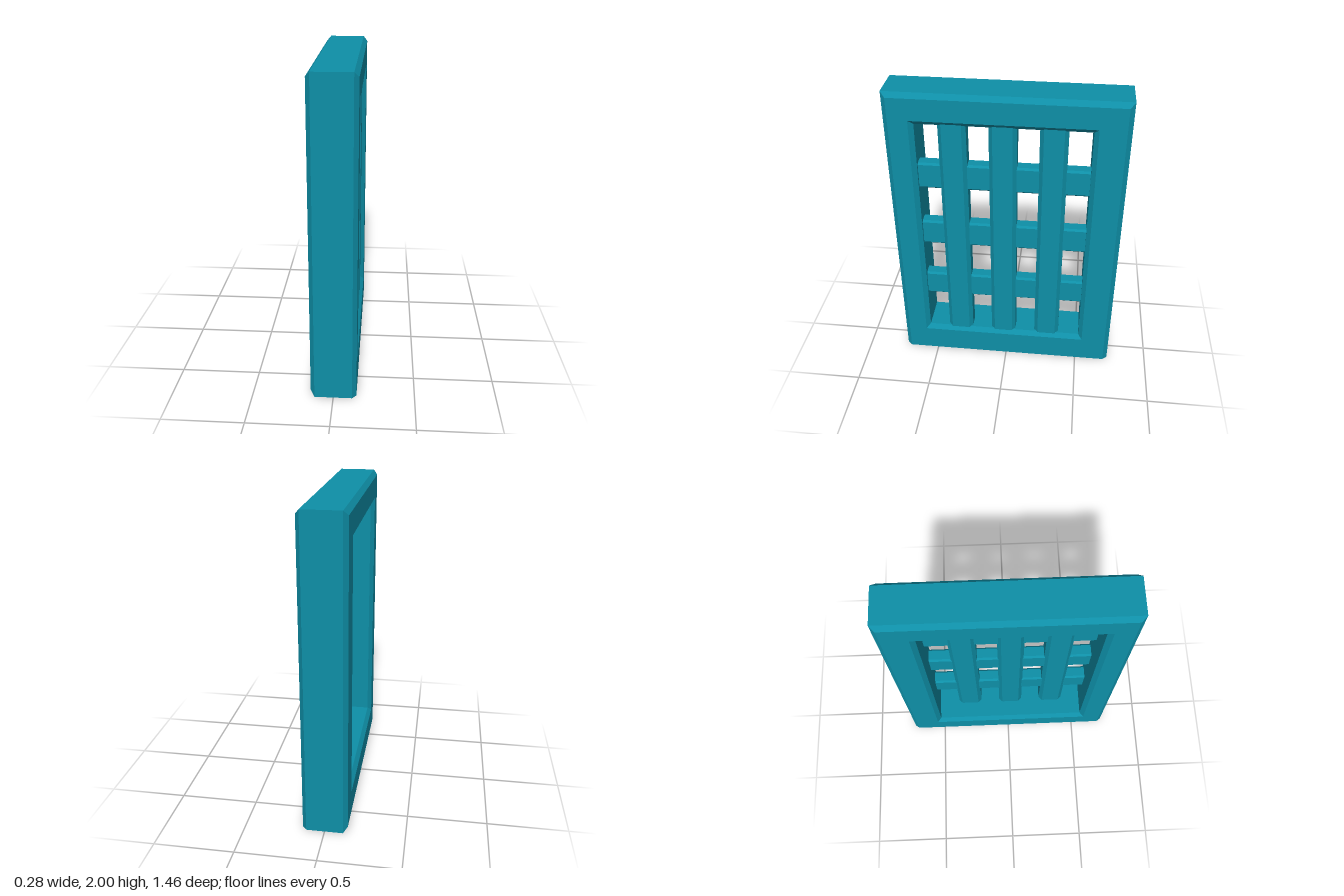
import * as THREE from 'three';

// Rectangular rings joined one to the next: [x, zFront, zBack, yLow, yHigh]
function ringLoft(rings) {
  const pos = [];
  const corners = ([x, zf, zb, y0, y1]) => [[x, y0, zf], [x, y0, zb], [x, y1, zb], [x, y1, zf]];
  for (let i = 0; i < rings.length; i++) {
    const a = corners(rings[i]);
    const b = corners(rings[(i + 1) % rings.length]);
    for (let k = 0; k < 4; k++) {
      const n = (k + 1) % 4;
      for (const v of [a[k], a[n], b[n], a[k], b[n], b[k]]) pos.push(...v);
    }
  }
  const g = new THREE.BufferGeometry();
  g.setAttribute('position', new THREE.Float32BufferAttribute(pos, 3));
  g.computeVertexNormals();
  return g;
}

// Bar with chamfered long edges, running along z
function chamferedBar(thick, width, length, c) {
  const x = thick / 2, y = width / 2;
  const shape = new THREE.Shape([
    [x, -y + c], [x, y - c], [x - c, y], [-x + c, y],
    [-x, y - c], [-x, -y + c], [-x + c, -y], [x - c, -y],
  ].map(([px, py]) => new THREE.Vector2(px, py)));
  return new THREE.ExtrudeGeometry(shape, { depth: length, bevelEnabled: false }).translate(0, 0, -length / 2);
}

export function createModel() {
  const group = new THREE.Group();
  const teal = new THREE.MeshStandardMaterial({ color: 0x0e8fa7, flatShading: true });
  teal.name = 'teal';

  const add = (name, geometry, x, y, z) => {
    const mesh = new THREE.Mesh(geometry, teal);
    mesh.name = name;
    mesh.position.set(x, y, z);
    group.add(mesh);
  };

  // Surround with chamfered outer and inner edges; one bottom edge stays square
  add('frame', ringLoft([
    [-0.142, 0.7, -0.7, 0.03, 1.97],
    [-0.116, 0.73, -0.73, 0, 2],
    [0.116, 0.73, -0.73, 0, 2],
    [0.142, 0.7, -0.7, 0, 1.97],
    [0.142, 0.578, -0.54, 0.176, 1.83],
    [0.116, 0.549, -0.513, 0.206, 1.801],
    [-0.116, 0.549, -0.513, 0.206, 1.801],
    [-0.142, 0.578, -0.54, 0.176, 1.83],
  ]), 0, 0, 0);

  // Lattice, set towards the +x face
  const upright = chamferedBar(0.126, 0.17, 1.61, 0.024).rotateZ(Math.PI).rotateX(-Math.PI / 2);
  const rail = chamferedBar(0.086, 0.178, 1.08, 0.012);
  for (let i = 0; i < 3; i++) {
    add('verticalBar' + (i + 1), upright, 0.059, 1.0035, 0.326 - i * 0.305);
    add('crossBar' + (i + 1), rail, 0.057, 0.576 + i * 0.43, 0.018);
  }
  return group;
}
